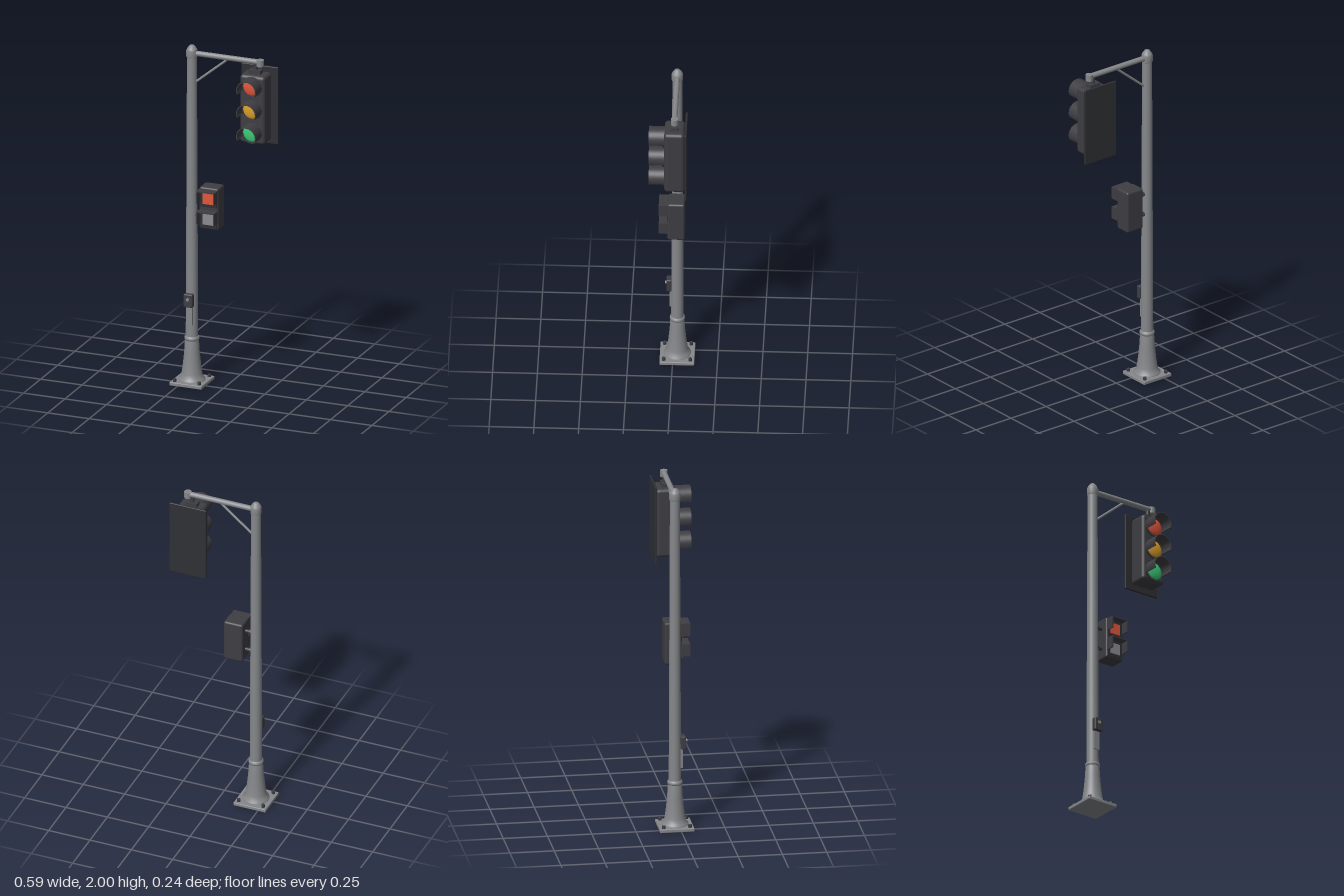
import * as THREE from 'three';
import { RoundedBoxGeometry } from 'three/addons/geometries/RoundedBoxGeometry.js';

const material = (name, color) => Object.assign(new THREE.MeshStandardMaterial({ color }), { name });

export function createModel() {
  const model = new THREE.Group();
  model.name = 'trafficSignal';
  const steel = material('pole grey', 0x85878a);
  const dark = material('housing charcoal', 0x3e3e43);
  const black = material('backplate black', 0x2f3034);
  const red = material('stop red', 0xe0573c);
  const amber = material('caution amber', 0xdca02c);
  const green = material('go green', 0x3ccb78);
  const pale = material('unlit grey', 0x8c8c90);

  const PX = -0.2, PZ = -0.024; // pole axis

  function add(name, geometry, mat, x = 0, y = 0, z = 0) {
    const mesh = new THREE.Mesh(geometry, mat);
    mesh.name = name;
    mesh.position.set(x, y, z);
    model.add(mesh);
    return mesh;
  }
  const box = (name, mat, w, h, d, x, y, z) => add(name, new THREE.BoxGeometry(w, h, d), mat, x, y, z);
  const rounded = (name, mat, w, h, d, r, x, y, z) =>
    add(name, new RoundedBoxGeometry(w, h, d, 3, r), mat, x, y, z);
  const lathe = (name, mat, pts, x, z) =>
    add(name, new THREE.LatheGeometry(pts.map(p => new THREE.Vector2(...p)), 32), mat, x, 0, z);
  // Round bar between two points
  function bar(name, mat, r, from, to) {
    const a = new THREE.Vector3(...from), b = new THREE.Vector3(...to);
    const mid = a.clone().add(b).multiplyScalar(0.5);
    const mesh = add(name, new THREE.CylinderGeometry(r, r, a.distanceTo(b), 20), mat, mid.x, mid.y, mid.z);
    mesh.quaternion.setFromUnitVectors(new THREE.Vector3(0, 1, 0), b.sub(a).normalize());
    return mesh;
  }

  // Base plate with anchor bolts
  rounded('basePlate', steel, 0.195, 0.02, 0.195, 0.004, PX, 0.01, PZ);
  for (const sx of [-1, 1]) for (const sz of [-1, 1]) {
    const x = PX + sx * 0.074, z = PZ + sz * 0.074;
    bar('anchorBolt', dark, 0.01, [x, 0.02, z], [x, 0.036, z]);
  }

  // Flared foot, collar, tapered pole and cap
  lathe('flaredFoot', steel, [[0.075, 0.018], [0.075, 0.028], [0.064, 0.036], [0.058, 0.06],
    [0.051, 0.11], [0.044, 0.18], [0.039, 0.26], [0.033, 0.265]], PX, PZ);
  lathe('collar', steel, [[0.034, 0.252], [0.041, 0.257], [0.043, 0.265], [0.041, 0.275], [0.033, 0.281]], PX, PZ);
  add('pole', new THREE.CylinderGeometry(0.028, 0.035, 1.7, 32), steel, PX, 1.1, PZ);
  lathe('poleCap', steel, [[0.027, 1.928], [0.032, 1.932], [0.032, 1.968], [0.027, 1.98],
    [0.013, 1.999], [0, 2]], PX, PZ);

  // Mast arm, end cap and diagonal brace
  bar('mastArm', steel, 0.0155, [PX, 1.953, PZ], [0.21, 1.953, PZ]);
  bar('armEndCap', steel, 0.021, [0.212, 1.93, PZ], [0.212, 1.967, PZ]);
  bar('armBrace', steel, 0.007, [-0.18, 1.782, PZ], [0.015, 1.943, PZ]);

  // Vehicle signal housing, backplate and hanger
  const SX = 0.185, SY = 1.685;
  bar('signalHanger', dark, 0.012, [SX, 1.88, PZ], [SX, 1.95, PZ]);
  box('hangerPlate', dark, 0.07, 0.024, 0.042, SX, 1.895, PZ);
  rounded('signalHousing', dark, 0.152, 0.402, 0.114, 0.02, SX, SY, -0.024);
  rounded('backplate', black, 0.222, 0.456, 0.012, 0.004, SX, SY, -0.088);

  // Three round lenses, each with a bezel and an open-bottomed visor
  const dip = THREE.MathUtils.degToRad(24);
  const hood = new THREE.Shape();
  hood.absarc(0, 0, 0.059, -dip, Math.PI + dip, false);
  hood.absarc(0, 0, 0.054, Math.PI + dip, -dip, true);
  const hoodGeometry = new THREE.ExtrudeGeometry(hood, { depth: 0.09, bevelEnabled: false, curveSegments: 28 });
  const ring = new THREE.Shape();
  ring.absarc(0, 0, 0.06, 0, Math.PI * 2, false);
  const hole = new THREE.Path();
  hole.absarc(0, 0, 0.051, 0, Math.PI * 2, true);
  ring.holes.push(hole);
  const ringGeometry = new THREE.ExtrudeGeometry(ring, { depth: 0.012, bevelEnabled: false, curveSegments: 28 });
  const lensGeometry = new THREE.SphereGeometry(0.052, 32, 10, 0, Math.PI * 2, 0, Math.PI / 2);
  lensGeometry.rotateX(Math.PI / 2).scale(1, 1, 0.25);
  [['redLens', red], ['amberLens', amber], ['greenLens', green]].forEach(([name, mat], i) => {
    const y = SY + (1 - i) * 0.136;
    add('signalVisor', hoodGeometry, dark, SX, y, 0.03);
    add('lensBezel', ringGeometry, dark, SX, y, 0.03);
    add(name, lensGeometry, mat, SX, y, 0.033);
  });

  // Pedestrian signal with square lenses under three-sided hoods
  const WX = -0.08;
  rounded('walkHousing', dark, 0.115, 0.247, 0.095, 0.012, WX, 1.06, -0.024);
  [['stopPanel', red, 1.12], ['walkPanel', pale, 0.998]].forEach(([name, mat, y]) => {
    box('panelFrame', black, 0.1, 0.1, 0.006, WX, y, 0.024);
    box(name, mat, 0.064, 0.064, 0.006, WX, y, 0.028);
    box('walkHoodTop', dark, 0.108, 0.006, 0.053, WX, y + 0.051, 0.0475);
    for (const s of [-1, 1]) box('walkHoodSide', dark, 0.006, 0.07, 0.053, WX + s * 0.051, y + 0.017, 0.0475);
    bar('walkBracket', dark, 0.01, [PX, y + 0.003, PZ], [-0.13, y + 0.003, PZ]);
    bar('bracketFlange', dark, 0.016, [PX + 0.026, y + 0.003, PZ], [PX + 0.036, y + 0.003, PZ]);
  });

  // Crossing button and the conduit below it
  rounded('buttonBox', dark, 0.054, 0.078, 0.03, 0.007, PX, 0.501, 0.022);
  bar('pushButton', pale, 0.009, [PX, 0.51, 0.034], [PX, 0.51, 0.045]);
  box('buttonConduit', steel, 0.036, 0.115, 0.014, PX, 0.41, 0.011);

  return model;
}
